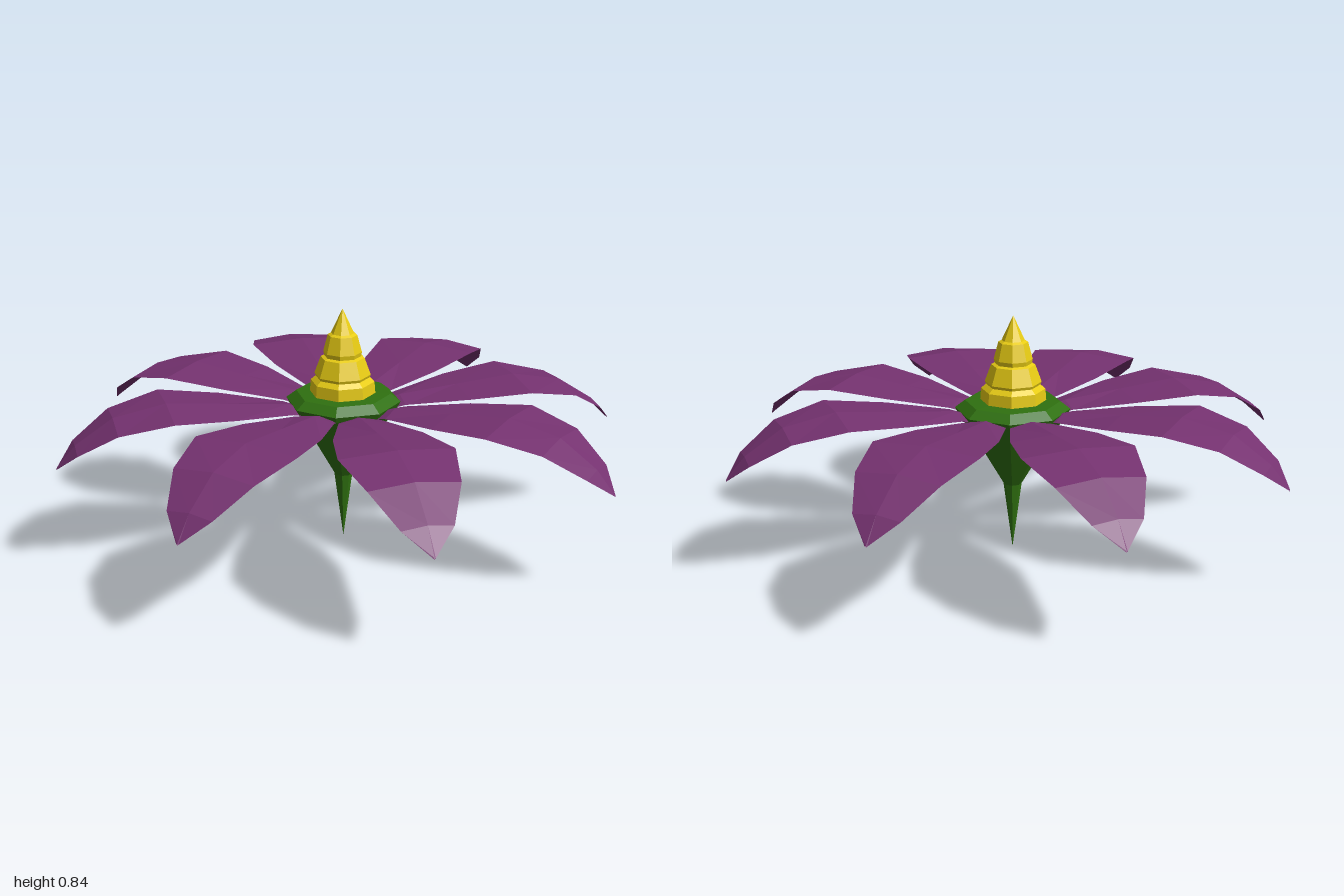
import * as THREE from 'three';

const material = (color) =>
  new THREE.MeshStandardMaterial({ color, flatShading: true, side: THREE.DoubleSide });

// Faceted turned part from [radius, height] points
function turned(name, points, sides, phase, mat) {
  const profile = points.map(([r, y]) => new THREE.Vector2(r, y));
  const mesh = new THREE.Mesh(new THREE.LatheGeometry(profile, sides, phase), mat);
  mesh.name = name;
  return mesh;
}

// Petal along +z: stations of [distance, half width, ridge height, edge height, underside height]
function petalGeometry() {
  const stations = [
    [0.10, 0.04, 0.49, 0.475, 0.46],
    [0.20, 0.075, 0.52, 0.505, 0.485],
    [0.41, 0.15, 0.54, 0.53, 0.515],
    [0.62, 0.19, 0.56, 0.548, 0.54],
    [0.80, 0.148, 0.525, 0.51, 0.505],
    [0.93, 0.083, 0.44, 0.43, 0.425],
    [0.995, 0.004, 0.365, 0.363, 0.36],
  ];
  const positions = [];
  const index = [];
  stations.forEach(([z, w, top, edge, under], i) => {
    positions.push(-w, edge, z, 0, top, z, w, edge, z, 0, under, z);
    if (i === 0) return;
    for (let j = 0; j < 4; j++) {
      const k = (j + 1) % 4;
      const a = (i - 1) * 4 + j, b = (i - 1) * 4 + k;
      const c = i * 4 + k, d = i * 4 + j;
      index.push(a, d, c, a, c, b);
    }
  });
  const geometry = new THREE.BufferGeometry();
  geometry.setAttribute('position', new THREE.Float32BufferAttribute(positions, 3));
  geometry.setIndex(index);
  geometry.computeVertexNormals();
  return geometry;
}

export function createModel() {
  const flower = new THREE.Group();
  flower.name = 'flower';
  const purple = material(0x753270);
  const green = material(0x2f7010);
  const yellow = material(0xe8cc14);

  // Eight drooping petals
  const petals = new THREE.Group();
  petals.name = 'petals';
  const geometry = petalGeometry();
  for (let i = 0; i < 8; i++) {
    const petal = new THREE.Mesh(geometry, purple);
    petal.name = 'petal' + (i + 1);
    petal.rotation.y = (i * Math.PI) / 4;
    petals.add(petal);
  }
  flower.add(petals);

  // Tapered stem opening into the green cup
  const cup = turned('stemAndCup', [
    [0, 0], [0.032, 0.24], [0.145, 0.43], [0.19, 0.495], [0.2, 0.515], [0.165, 0.542], [0, 0.55],
  ], 8, Math.PI / 8, green);
  cup.position.set(-0.01, 0, -0.01);
  flower.add(cup);

  // Tiered pointed centre
  const centre = turned('centreCone', [
    [0.115, 0.535], [0.111, 0.585], [0.094, 0.6], [0.098, 0.61], [0.076, 0.67],
    [0.064, 0.675], [0.067, 0.69], [0.051, 0.75], [0.04, 0.756], [0, 0.842],
  ], 8, Math.PI / 8, yellow);
  centre.position.set(-0.01, 0, -0.005);
  flower.add(centre);

  return flower;
}
